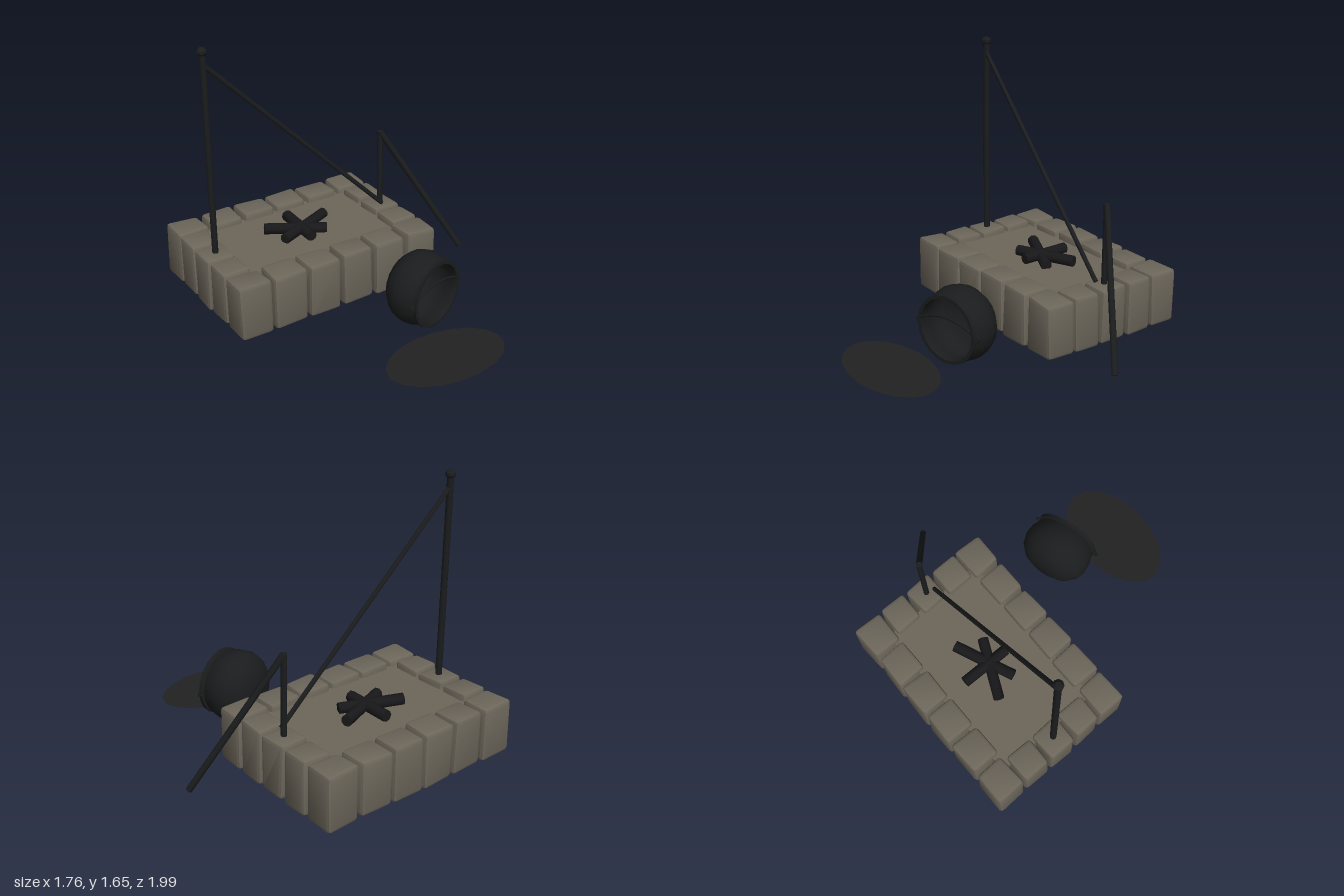
import * as THREE from 'three';
import { toCreasedNormals } from 'three/addons/utils/BufferGeometryUtils.js';
import { RoundedBoxGeometry } from 'three/addons/geometries/RoundedBoxGeometry.js';

const V = (x, y, z) => new THREE.Vector3(x, y, z);

function seeded(seed) {
  return () => {
    seed = (seed * 16807) % 2147483647;
    return seed / 2147483647;
  };
}

// Chamfered block whose eight corners are nudged for a hand-cut look
function stoneGeometry(w, h, d, rand) {
  const geo = new RoundedBoxGeometry(w, h, d, 1, 0.022);
  const nudge = Array.from({ length: 8 }, () =>
    V(rand(), rand(), rand()).multiplyScalar(0.014));
  const pos = geo.attributes.position;
  for (let i = 0; i < pos.count; i++) {
    const p = V().fromBufferAttribute(pos, i);
    const t = [p.x / w + 0.5, p.y / h + 0.5, p.z / d + 0.5];
    const move = V(0, 0, 0);
    nudge.forEach((n, c) => {
      const weight = t.reduce((m, v, a) => m * ((c >> a) & 1 ? v : 1 - v), 1);
      // corners only move inward, so neighbours never overlap
      const inward = V(c & 1 ? -n.x : n.x, c & 2 ? -n.y : n.y, c & 4 ? -n.z : n.z);
      move.addScaledVector(inward, weight);
    });
    p.add(move);
    pos.setXYZ(i, p.x, p.y, p.z);
  }
  return toCreasedNormals(geo, 0.5);
}

export function createModel() {
  const model = new THREE.Group();
  model.name = 'firePit';

  const material = (name, color, side = THREE.FrontSide) => {
    const m = new THREE.MeshStandardMaterial({ color, side });
    m.name = name;
    return m;
  };
  const stone = material('stone', 0x6c665a);
  const iron = material('iron', 0x1b1c1d, THREE.DoubleSide);
  const soot = material('soot', 0x222222, THREE.DoubleSide);
  const charcoal = material('charcoal', 0x18181a);

  const add = (parent, name, geo, mat, x = 0, y = 0, z = 0) => {
    const mesh = new THREE.Mesh(geo, mat);
    mesh.name = name;
    mesh.position.set(x, y, z);
    parent.add(mesh);
    return mesh;
  };

  // Round bar between two points
  const bar = (parent, name, a, b, r, mat, sides = 8) => {
    const dir = b.clone().sub(a);
    const geo = toCreasedNormals(new THREE.CylinderGeometry(r, r, dir.length(), sides), 0.9);
    const mesh = add(parent, name, geo, mat);
    mesh.position.copy(a).add(b).multiplyScalar(0.5);
    mesh.quaternion.setFromUnitVectors(V(0, 1, 0), dir.normalize());
    return mesh;
  };

  // Hearth: ring of stones around a flat bed
  const hearth = new THREE.Group();
  hearth.name = 'hearth';
  model.add(hearth);
  const rand = seeded(417);
  const midY = 0.196;
  for (let i = 0; i < 6; i++) {
    for (const z of [-0.9, -0.1]) {
      add(hearth, 'longSideStone', stoneGeometry(0.228, 0.355, 0.2, rand), stone,
        -0.771 + i * 0.2345, midY, z);
    }
  }
  for (const z of [-0.7, -0.5, -0.3]) {
    for (const x of [-0.786, 0.418]) {
      add(hearth, 'shortSideStone', stoneGeometry(0.2, 0.355, 0.193, rand), stone, x, midY, z);
    }
  }
  add(hearth, 'bed', new THREE.BoxGeometry(1.1, 0.29, 0.7), stone, -0.185, 0.178, -0.5);

  // Burnt logs crossing at the middle
  const logs = new THREE.Group();
  logs.name = 'logs';
  model.add(logs);
  bar(logs, 'log', V(-0.18, 0.36, -0.68), V(-0.185, 0.355, -0.36), 0.035, charcoal);
  bar(logs, 'log', V(-0.395, 0.365, -0.59), V(-0.04, 0.345, -0.42), 0.035, charcoal);
  bar(logs, 'log', V(0.035, 0.36, -0.58), V(-0.34, 0.35, -0.425), 0.035, charcoal);

  // Broken pot stand
  const stand = new THREE.Group();
  stand.name = 'potStand';
  model.add(stand);
  bar(stand, 'tallPost', V(-0.783, 0.3, -0.495), V(-0.783, 1.63, -0.495), 0.02, iron);
  const knob = new THREE.LatheGeometry(
    [[0, 0], [0.022, 0], [0.03, 0.012], [0.03, 0.028], [0.014, 0.045], [0, 0.045]]
      .map(([r, y]) => new THREE.Vector2(r, y)), 8);
  add(stand, 'postKnob', toCreasedNormals(knob, 0.5), iron, -0.783, 1.615, -0.495);
  bar(stand, 'fallenCrossbar', V(-0.783, 1.56, -0.495), V(0.4, 0.385, -0.445), 0.014, iron);
  bar(stand, 'shortPost', V(0.418, 0.3, -0.495), V(0.418, 0.87, -0.495), 0.018, iron);
  bar(stand, 'brokenPost', V(0.418, 0.865, -0.495), V(0.863, 0.04, -0.2), 0.02, iron);

  // Cauldron lying on its side, mouth to the front
  const cauldron = new THREE.Group();
  cauldron.name = 'cauldron';
  cauldron.position.set(0.088, 0.236, 0.195);
  cauldron.rotation.y = 0.27;
  model.add(cauldron);
  const profile = [
    [0, 0], [0.1, 0.003], [0.165, 0.03], [0.21, 0.08], [0.229, 0.14], [0.223, 0.2],
    [0.203, 0.25], [0.196, 0.262], [0.212, 0.268], [0.212, 0.29], [0.19, 0.29],
    [0.185, 0.26], [0.207, 0.2], [0.213, 0.14], [0.195, 0.085], [0.1, 0.025], [0, 0.022],
  ].map(([r, y]) => new THREE.Vector2(r, y));
  const pot = new THREE.LatheGeometry(profile, 20).rotateX(Math.PI / 2);
  add(cauldron, 'pot', toCreasedNormals(pot, 0.7), iron);
  for (const s of [-1, 1]) {
    add(cauldron, 'handleLug', new THREE.TorusGeometry(0.016, 0.007, 6, 10), iron,
      s * 0.217, 0, 0.272);
  }
  const arc = new THREE.CatmullRomCurve3([
    V(-0.215, 0, 0.275), V(-0.185, 0.03, 0.282), V(-0.1, 0.063, 0.282), V(0, 0.074, 0.282),
    V(0.1, 0.063, 0.282), V(0.185, 0.03, 0.282), V(0.215, 0, 0.275),
  ]);
  add(cauldron, 'handle', new THREE.TubeGeometry(arc, 24, 0.007, 6), iron);

  // Spill on the ground
  const spill = new THREE.CircleGeometry(1, 18).rotateX(-Math.PI / 2).scale(0.388, 1, 0.237);
  add(model, 'spill', spill, soot, 0.017, 0.022, 0.757);

  return model;
}
